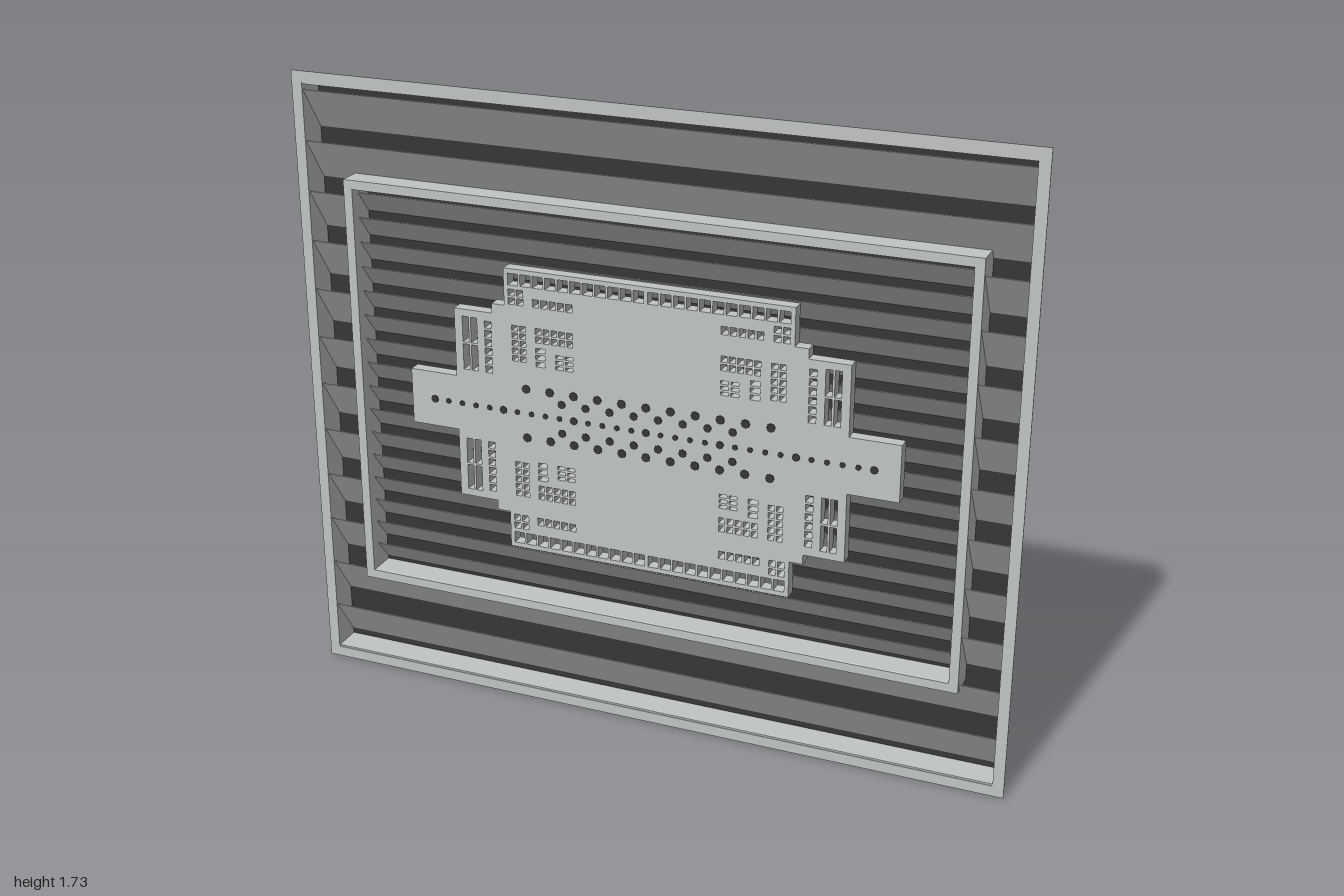
import * as THREE from 'three';

const MID = 0.865; // height of the horizontal mirror line
const FRONT = 0.081;

export function createModel() {
  const light = new THREE.MeshStandardMaterial({ color: 0xc0c4c3 });
  light.name = 'pale grey metal';
  const dark = new THREE.MeshStandardMaterial({ color: 0x363636 });
  dark.name = 'charcoal';
  const model = new THREE.Group();
  model.name = 'louvredPanel';

  const add = (name, geo, mat, x = 0, y = 0, z = 0) => {
    const m = new THREE.Mesh(geo, mat);
    m.name = name;
    m.position.set(x, y, z);
    model.add(m);
    return m;
  };
  // box given by its limits
  const box = (name, mat, x0, x1, y0, y1, z0, z1) =>
    add(name, new THREE.BoxGeometry(x1 - x0, y1 - y0, z1 - z0), mat,
      (x0 + x1) / 2, (y0 + y1) / 2, (z0 + z1) / 2);
  const rect = (P, x0, x1, y0, y1) => {
    const p = new P();
    p.moveTo(x0, y0); p.lineTo(x1, y0); p.lineTo(x1, y1); p.lineTo(x0, y1);
    p.closePath();
    return p;
  };
  // rectangular frame centred on the mirror line
  const frame = (name, hx, hy, t, z0, z1) => {
    const s = rect(THREE.Shape, -hx, hx, MID - hy, MID + hy);
    s.holes.push(rect(THREE.Path, -hx + t, hx - t, MID - hy + t, MID + hy - t));
    add(name, new THREE.ExtrudeGeometry(s, { depth: z1 - z0, bevelEnabled: false }), light, 0, 0, z0);
  };
  // louvre leaning forward at its top edge
  const slat = (name, x0, x1, top, h, d) => {
    const g = new THREE.BoxGeometry(x1 - x0, Math.hypot(h, d), 0.002);
    add(name, g, light, (x0 + x1) / 2, top - h / 2, d / 2).rotation.x = Math.atan2(d, h);
  };

  // casing
  box('backPanel', dark, -0.974, 0.974, 0.031, 1.699, -0.003, 0);
  frame('casingWalls', 0.975, 0.835, 0.005, -0.002, 0.079);
  frame('frontFlange', 1, 0.865, 0.03, 0.078, FRONT);
  frame('innerFrame', 0.863, 0.585, 0.025, 0, FRONT);

  // wide outer louvres, interrupted by the inner frame
  for (let k = 0; k < 12; k++) {
    const top = 1.68 - k * 0.1375;
    if (k < 2 || k > 9) slat('outerLouvre', -0.97, 0.97, top, 0.115, 0.076);
    else for (const s of [-1, 1])
      slat('outerLouvre', Math.min(s * 0.97, s * 0.86), Math.max(s * 0.97, s * 0.86), top, 0.115, 0.076);
  }
  // narrow inner louvres
  for (let k = 0; k < 16; k++) slat('innerLouvre', -0.84, 0.84, 1.409 - k * 0.0688, 0.062, 0.05);

  // stepped centre plate, one quarter outline mirrored four ways
  const quarter = [[0.685, 0.078], [0.548, 0.078], [0.548, 0.27], [0.437, 0.27],
    [0.437, 0.297], [0.4, 0.297], [0.4, 0.4]];
  const back = [...quarter].reverse();
  const outline = [
    ...quarter,
    ...back.map(([x, y]) => [-x, y]),
    ...quarter.map(([x, y]) => [-x, -y]),
    ...back.map(([x, y]) => [x, -y]),
  ];
  const plate = new THREE.Shape(outline.map(([x, y]) => new THREE.Vector2(x, y + MID)));
  // grids of openings: x0, x1, y0, y1 above the mirror line, columns, rows
  const grids = [
    [0.005, 0.388, 0.355, 0.387, 11, 1],
    [0.345, 0.388, 0.302, 0.344, 2, 2],
    [0.205, 0.318, 0.302, 0.324, 5, 1],
    [0.340, 0.380, 0.145, 0.245, 2, 5],
    [0.205, 0.312, 0.205, 0.245, 5, 2],
    [0.205, 0.255, 0.138, 0.178, 2, 3],
    [0.285, 0.312, 0.138, 0.190, 1, 3],
    [0.482, 0.525, 0.100, 0.250, 2, 2],
    [0.440, 0.460, 0.100, 0.245, 1, 6],
  ];
  const gap = 0.006;
  for (const [x0, x1, y0, y1, nx, ny] of grids)
    for (let i = 0; i < nx; i++)
      for (let j = 0; j < ny; j++) {
        const w = (x1 - x0 + gap) / nx, h = (y1 - y0 + gap) / ny;
        const a = x0 + i * w, b = a + w - gap, c = y0 + j * h, d = c + h - gap;
        for (const [l, r] of [[a, b], [-b, -a]])
          for (const [lo, hi] of [[c, d], [-d, -c]])
            plate.holes.push(rect(THREE.Path, l, r, MID + lo, MID + hi));
      }
  add('centrePlate', new THREE.ExtrudeGeometry(plate, { depth: 0.035, bevelEnabled: false }),
    light, 0, 0, FRONT - 0.035);

  // dark studs on the arm
  const stud = (x, y, r) => {
    const g = new THREE.CylinderGeometry(r, r, 0.006, 8);
    g.rotateX(Math.PI / 2);
    add('stud', g, dark, x, MID + y, FRONT - 0.001);
  };
  for (let i = -15; i <= 15; i++) stud(i * 0.0411, 0, i % 5 ? 0.008 : 0.011);
  for (const s of [-1, 1]) {
    for (let i = -5; i <= 5; i++) stud(i * 0.0685, s * 0.07, 0.0125);
    for (let i = -4; i < 4; i++) stud((i + 0.5) * 0.0685, s * 0.041, 0.0115);
  }

  // rear housing and rails
  box('rearHousing', light, -0.203, 0.203, 0.787, 0.945, -0.079, -0.002);
  box('rearHousingCover', dark, -0.203, 0.203, 0.787, 0.945, -0.082, -0.079);
  for (const s of [-1, 1]) {
    box('rearRail', light, -0.683, 0.683, MID + s * 0.048 - 0.004, MID + s * 0.048 + 0.004, -0.042, -0.002);
    box('housingSlot', dark, s * 0.203 - 0.001, s * 0.203 + 0.001, 0.843, 0.89, -0.043, -0.038);
  }
  return model;
}
